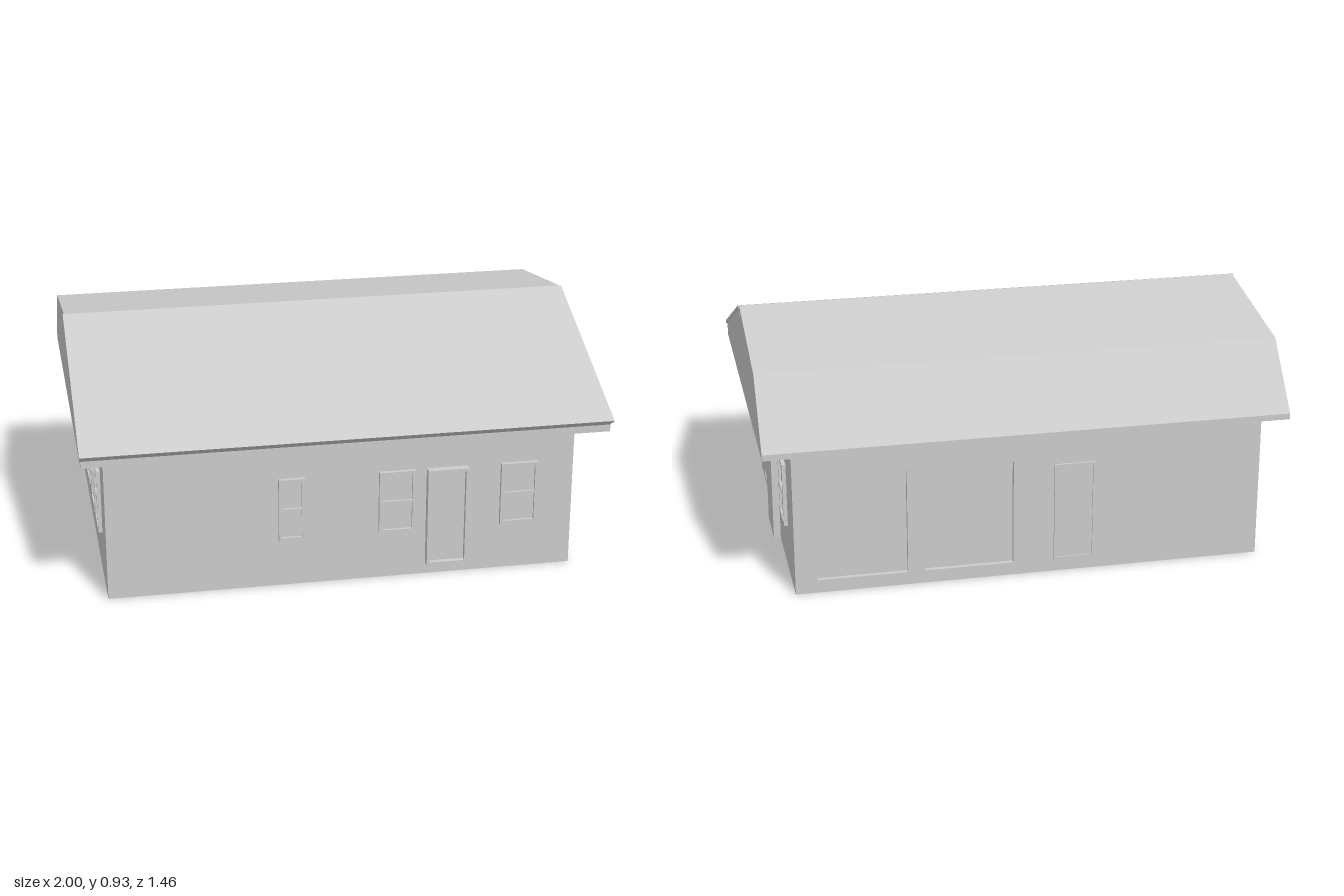
import * as THREE from 'three';

const material = new THREE.MeshStandardMaterial({ color: 0xcccccc, flatShading: true });

function addMesh(parent, name, geometry) {
  const mesh = new THREE.Mesh(geometry, material);
  mesh.name = name;
  parent.add(mesh);
  return mesh;
}

// Box given by its limits on each axis
function addBox(parent, name, x0, x1, y0, y1, z0, z1) {
  const mesh = addMesh(parent, name, new THREE.BoxGeometry(x1 - x0, y1 - y0, z1 - z0));
  mesh.position.set((x0 + x1) / 2, (y0 + y1) / 2, (z0 + z1) / 2);
  return mesh;
}

const polygon = (points) => points.map(([x, y]) => new THREE.Vector2(x, y));
const rect = (x0, x1, y0, y1) => polygon([[x0, y0], [x1, y0], [x1, y1], [x0, y1]]);

function panelWithHoles(outline, holes, depth) {
  const shape = new THREE.Shape(outline);
  holes.forEach((h) => shape.holes.push(new THREE.Path(h)));
  return new THREE.ExtrudeGeometry(shape, { depth, bevelEnabled: false });
}

// Raised frame around one or more recessed panels, facing local +z
function addFramed(parent, name, w, y0, y1, depth, splits, border) {
  const group = new THREE.Group();
  group.name = name;
  const edges = [y0 + border / 2, ...splits, y1 - border / 2];
  const holes = [];
  for (let i = 0; i < edges.length - 1; i++) {
    holes.push(rect(-w / 2 + border, w / 2 - border, edges[i] + border / 2, edges[i + 1] - border / 2));
  }
  addMesh(group, 'frame', panelWithHoles(rect(-w / 2, w / 2, y0, y1), holes, depth));
  addBox(group, 'panel', -w / 2 + border / 2, w / 2 - border / 2, y0 + border / 2, y1 - border / 2, -0.005, depth * 0.35);
  parent.add(group);
  return group;
}

export function createModel() {
  const house = new THREE.Group();
  house.name = 'house';
  const L = -0.91, R = 0.885, B = -0.655, F = 0.61;
  const floorY = 0.012, recess = 0.018;

  // Main body, with a shallow rim below the floor
  addBox(house, 'body', L, R, floorY, 0.58, B + recess, F);
  addBox(house, 'frontRim', L, R, 0, floorY, F - 0.02, F);
  addBox(house, 'leftRim', L, L + 0.02, 0, floorY, B + recess, F - 0.02);
  addBox(house, 'rightRim', R - 0.02, R, 0, floorY, B + recess, F - 0.02);

  // Back wall with two recessed garage doors
  const garages = [[0.055, 0.395], [0.46, 0.80]];
  const backWall = addMesh(house, 'backWall', panelWithHoles(
    rect(L, R, 0, 0.58),
    garages.map(([a, b]) => rect(a, b, 0.05, 0.465)),
    recess));
  backWall.position.z = B;

  // Band under the eaves and the bay on the right side
  addBox(house, 'eavesBand', -0.92, 0.912, 0.55, 0.58, B - 0.001, 0.62);
  addBox(house, 'sideBay', 0.79, 0.912, 0, 0.55, -0.14, 0.06);

  // Roof: one profile run along x, with a narrow slot under the ridge
  const profile = [
    [-0.70, 0.577], [0.73, 0.577], [0.73, 0.60], [0.53, 0.835],
    [0, 0.93], [-0.73, 0.63], [-0.70, 0.605],
  ];
  const slot = [[0.003, 0.92], [0.018, 0.893], [0, 0.893]];
  const roof = addMesh(house, 'roof', panelWithHoles(polygon(profile), [polygon(slot)], 1.99));
  roof.rotation.y = Math.PI / 2;
  roof.position.x = -0.995;

  // Front roof sheet, slightly longer than the gables
  const sheet = [[0, 0.931], [-0.731, 0.631], [-0.722, 0.622], [0, 0.919]];
  const frontSheet = addMesh(house, 'frontRoofSheet', panelWithHoles(polygon(sheet), [], 2));
  frontSheet.rotation.y = Math.PI / 2;
  frontSheet.position.x = -1;

  const addWindow = (name, w) => addFramed(house, name, w, 0.19, 0.44, 0.015, [0.315], 0.012);

  // Front windows and door
  for (const [x, w] of [[-0.21, 0.10], [0.195, 0.14], [0.672, 0.145]]) {
    addWindow('frontWindow', w).position.set(x, 0, F);
  }
  addFramed(house, 'frontDoor', 0.16, 0.045, 0.44, 0.03, [], 0.012).position.set(0.39, 0, F);

  // Left windows
  for (const z of [-0.37, -0.12, 0.155, 0.35]) {
    const win = addWindow('leftWindow', 0.148);
    win.position.set(L, 0, z);
    win.rotation.y = -Math.PI / 2;
  }

  // Right window, side door and low step block
  const rightWindow = addWindow('rightWindow', 0.148);
  rightWindow.position.set(R, 0, -0.378);
  rightWindow.rotation.y = Math.PI / 2;
  addBox(house, 'sideDoor', R - 0.01, R + 0.004, 0.045, 0.5, 0.225, 0.415);
  addBox(house, 'sideDoorSill', R, R + 0.007, 0.05, 0.06, 0.24, 0.40);
  addBox(house, 'sideBlock', R - 0.01, R + 0.004, 0, 0.165, 0.06, 0.225);

  // Back door
  const backDoor = addFramed(house, 'backDoor', 0.163, 0.045, 0.44, 0.008, [], 0.014);
  backDoor.position.set(-0.183, 0, B);
  backDoor.rotation.y = Math.PI;

  return house;
}
